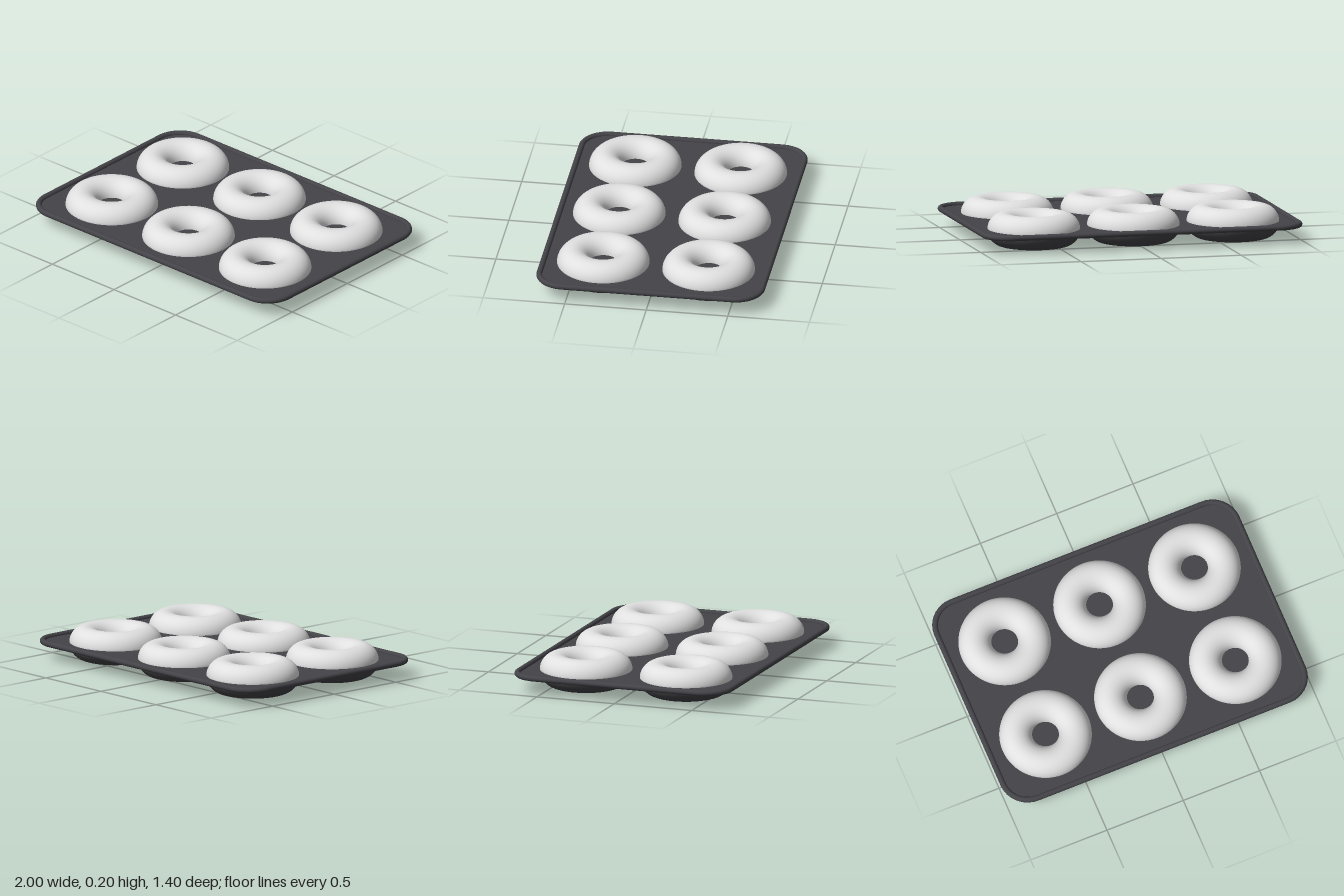
import * as THREE from 'three';

const RING = 0.181, TUBE = 0.1, MID = 0.1015; // ring radius, section radius, height of the ring centre
const COLUMNS = [-0.622, 0, 0.622], ROWS = [-0.323, 0.323];
const RIM = 0.0175;
const HX = 1 - RIM, HZ = 0.7 - RIM, CORNER = 0.16;

// Rounded rectangle through the middle of the rim
function trayOutline() {
  const s = new THREE.Shape();
  const a = HX - CORNER, b = HZ - CORNER;
  s.moveTo(a, -HZ);
  s.absarc(a, -b, CORNER, -Math.PI / 2, 0, false);
  s.absarc(a, b, CORNER, 0, Math.PI / 2, false);
  s.absarc(-a, b, CORNER, Math.PI / 2, Math.PI, false);
  s.absarc(-a, -b, CORNER, Math.PI, Math.PI * 1.5, false);
  s.closePath();
  return s;
}

// Lathe an arc of the ring section; angles run from the outer equator
function ringLathe(from, to, radiusAt, steps) {
  const pts = [];
  for (let i = 0; i <= steps; i++) {
    const t = from + (to - from) * i / steps;
    const r = radiusAt(t);
    pts.push(new THREE.Vector2(RING + r * Math.cos(t), r * Math.sin(t)));
  }
  return new THREE.LatheGeometry(pts, 64);
}

// Closed curve along the tray edge, for the rolled rim
class RimCurve extends THREE.Curve {
  constructor() {
    super();
    this.outline = trayOutline();
  }
  getPoint(t, target = new THREE.Vector3()) {
    const p = this.outline.getPoint(Math.min(Math.max(t, 0), 1));
    return target.set(p.x, 0, p.y);
  }
}

export function createModel() {
  const model = new THREE.Group();
  model.name = 'doughnutTray';

  const metal = new THREE.MeshStandardMaterial({ color: 0x444348 });
  metal.name = 'dark metal';
  metal.side = THREE.DoubleSide;
  const dough = new THREE.MeshStandardMaterial({ color: 0xe0e0e0 });
  dough.name = 'pale dough';

  const add = (parent, name, geometry, material, y) => {
    const mesh = new THREE.Mesh(geometry, material);
    mesh.name = name;
    mesh.position.y = y;
    parent.add(mesh);
    return mesh;
  };

  // Flat sheet with a round opening for every mould
  const sheet = trayOutline();
  for (const x of COLUMNS) for (const z of ROWS) {
    const hole = new THREE.Path();
    hole.absarc(x, z, RING + TUBE - 0.001, 0, Math.PI * 2, true);
    sheet.holes.push(hole);
  }
  const sheetGeo = new THREE.ExtrudeGeometry(sheet, { depth: 0.008, bevelEnabled: false, curveSegments: 32 });
  sheetGeo.rotateX(-Math.PI / 2);
  add(model, 'traySheet', sheetGeo, metal, MID - 0.004);

  // Rolled rim
  add(model, 'trayRim', new THREE.TubeGeometry(new RimCurve(), 240, RIM, 16, true), metal, 0.107);

  // Moulds with a raised centre, and a doughnut in each
  const mouldGeo = ringLathe(-Math.PI, 0, () => MID, 24);
  const capGeo = new THREE.CylinderGeometry(RING - TUBE + 0.001, RING - TUBE + 0.001, 0.008, 48);
  const doughGeo = ringLathe(-Math.PI, Math.PI, t => (t < -0.01 && t > -3.13 ? TUBE - 0.004 : TUBE), 48);
  for (const x of COLUMNS) for (const z of ROWS) {
    const cup = new THREE.Group();
    cup.name = 'cup';
    cup.position.set(x, 0, z);
    add(cup, 'mould', mouldGeo, metal, MID);
    add(cup, 'mouldCentre', capGeo, metal, MID);
    add(cup, 'doughnut', doughGeo, dough, MID + 0.001);
    model.add(cup);
  }
  return model;
}
